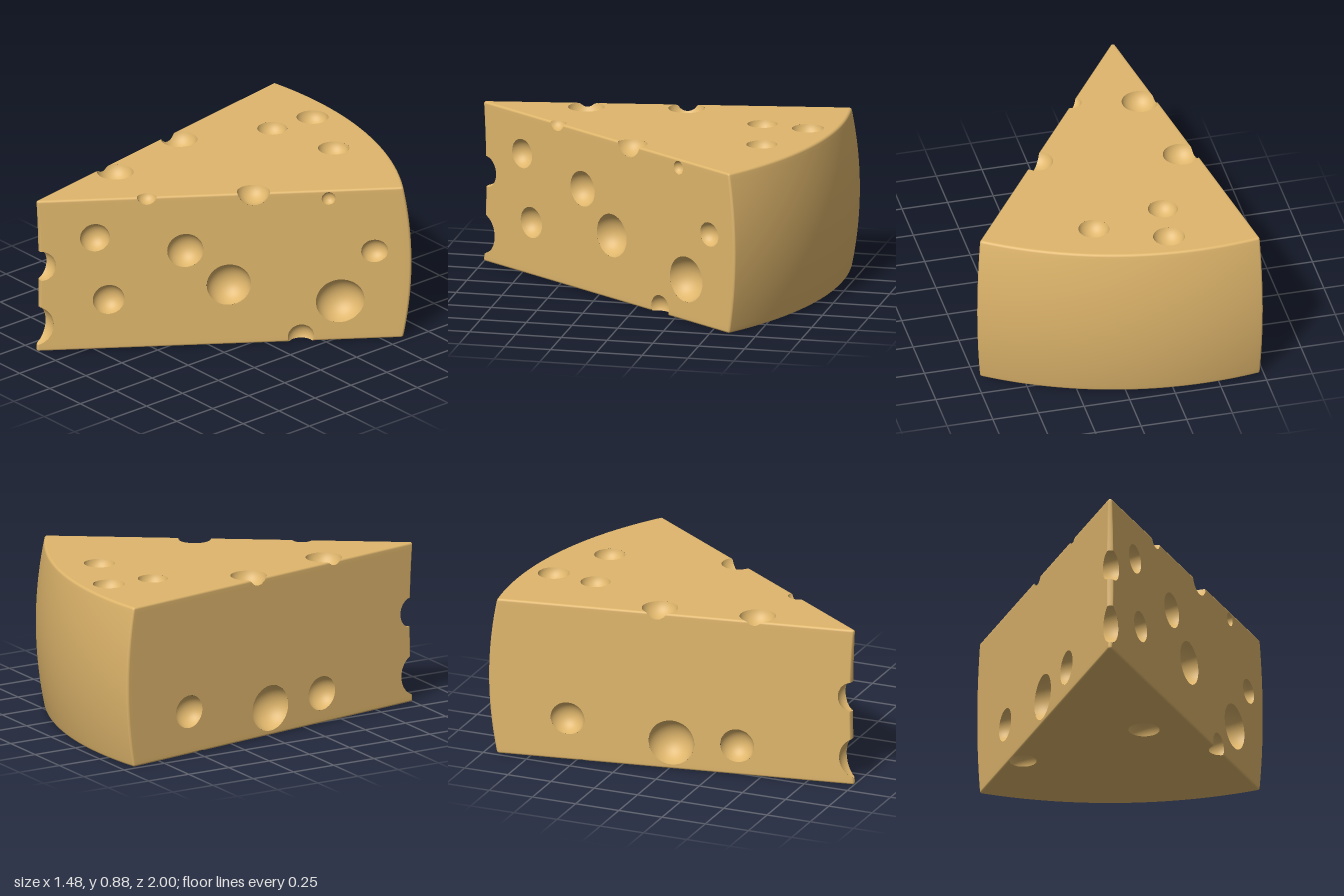
import * as THREE from 'three';
import { mergeVertices } from 'three/addons/utils/BufferGeometryUtils.js';

const V = (x, y, z) => new THREE.Vector3(x, y, z);
const dir = a => V(Math.sin(a), 0, -Math.cos(a));

// Wedge dimensions: a sector around the tip, with softly rounded edges
const TIP = V(-0.41, 0, 1.02), RADIUS = 1.975, HEIGHT = 0.88, ROUND = 0.012;
const A0 = THREE.MathUtils.degToRad(-9.4), A1 = THREE.MathUtils.degToRad(35);
const MID = (A0 + A1) / 2;
const N0 = V(-Math.cos(A0), 0, -Math.sin(A0)); // outward normal of the -x cut
const N1 = V(Math.cos(A1), 0, Math.sin(A1)); // outward normal of the +x cut
const CORE = TIP.clone().addScaledVector(dir(MID), ROUND / Math.sin((A1 - A0) / 2));

// Point on a cut face at depth z and height y
const onCut = (a, z, y) => TIP.clone().addScaledVector(dir(a), (TIP.z - z) / Math.cos(a)).setY(y);

// Spherical holes, each with its centre a little outside the surface
const holes = [];
const hole = (p, n, c, out = 0.2) =>
  holes.push({ c: p.clone().addScaledVector(n, out * c), r: c * Math.hypot(1, out) });
[[0.75, 0.655, 0.08], [0.69, 0.29, 0.085], [0.355, 0.56, 0.097], [0.165, 0.35, 0.118],
  [-0.315, 0.23, 0.125], [-0.455, 0.515, 0.066], [-0.15, 0.03, 0.07], [-0.27, 0.833, 0.037]]
  .forEach(([z, y, c]) => hole(onCut(A1, z, y), N1, c));
[[-0.54, 0.235, 0.09], [0.015, 0.15, 0.125], [0.37, 0.165, 0.093]]
  .forEach(([z, y, c]) => hole(onCut(A0, z, y), N0, c));
[[-0.265, -0.8, 0.085], [-0.295, -0.545, 0.08], [0.105, -0.635, 0.083], [-0.51, -0.08, 0.097],
  [-0.415, 0.445, 0.097], [0.25, 0.045, 0.088], [-0.06, 0.525, 0.053]]
  .forEach(([x, z, c]) => hole(V(x, HEIGHT, z), V(0, 1, 0), c));
[[-0.03, 0.03, 0.083], [-0.585, -0.48, 0.072]]
  .forEach(([x, z, c]) => hole(V(x, 0, z), V(0, -1, 0), c));
hole(V(-0.39, 0.498, 1.0), V(0, 0, 1), 0.085, 0);
hole(V(-0.4, 0.148, 1.04), V(0, 0, 1), 0.117, 0);

// Positive outside every hole
const outsideHoles = p => Math.min(...holes.map(h => p.distanceTo(h.c) - h.r));

// Positive inside the rounded wedge
function insideWedge(p) {
  const q = V(p.x - CORE.x, 0, p.z - CORE.z);
  let s = Math.max(q.dot(N0), q.dot(N1));
  if (q.dot(dir(A0)) < 0 && q.dot(dir(A1)) < 0) s = q.length();
  const t = Math.max(p.y - HEIGHT + ROUND, ROUND - p.y);
  return ROUND - Math.min(Math.max(s, t), 0) - Math.hypot(Math.max(s, 0), Math.max(t, 0));
}

// Bulge the rind outward and draw the tip edge in slightly at mid height
function warp(p) {
  const dx = p.x - TIP.x, dz = p.z - TIP.z, rho = Math.hypot(dx, dz);
  if (rho < 1e-6) return p;
  const s = 1 - (2 * p.y / HEIGHT - 1) ** 2;
  const k = s * (0.045 * (rho / RADIUS) ** 8 + 0.02 * Math.max(0, 1 - rho / 0.2)) / rho;
  return V(p.x + dx * k, p.y, p.z + dz * k);
}

// Keep the parts of triangles where the field is positive
function clip(triangles, field) {
  const out = [];
  const values = new Map();
  const value = p => {
    if (!values.has(p)) values.set(p, field(p));
    return values.get(p);
  };
  const root = (a, b) => {
    let lo = 0, hi = 1;
    for (let i = 0; i < 14; i++) {
      const m = (lo + hi) / 2;
      if (field(a.clone().lerp(b, m)) > 0) lo = m; else hi = m;
    }
    return a.clone().lerp(b, lo);
  };
  for (const tri of triangles) {
    const poly = [];
    tri.forEach((a, i) => {
      const b = tri[(i + 1) % 3], fa = value(a) > 0, fb = value(b) > 0;
      if (fa) poly.push(a);
      if (fa !== fb) poly.push(fa ? root(a, b) : root(b, a));
    });
    for (let i = 2; i < poly.length; i++) {
      for (const p of [poly[0], poly[i - 1], poly[i]]) out.push(...warp(p).toArray());
    }
  }
  const geo = new THREE.BufferGeometry();
  geo.setAttribute('position', new THREE.Float32BufferAttribute(out, 3));
  const merged = mergeVertices(geo, 1e-5);
  merged.computeVertexNormals();
  return merged;
}

// Rounded wedge lofted from rings: bottom, lower edge, walls, upper edge, top
function wedgeTriangles() {
  const outline = [];
  const segment = (n, point, normal) => {
    for (let i = 0; i < n; i++) outline.push({ p: point(i / n), n: normal(i / n).normalize() });
  };
  const rc = RADIUS - ROUND, delta = Math.asin(ROUND / rc), b0 = A0 + delta, b1 = A1 - delta;
  const at = a => TIP.clone().addScaledVector(dir(a), rc);
  const mix = (a, b) => t => a.clone().lerp(b, t);
  const angle = t => b1 + (b0 - b1) * t;
  segment(90, mix(CORE, at(b1)), () => N1.clone());
  segment(4, () => at(b1), mix(N1, dir(b1)));
  segment(44, t => at(angle(t)), t => dir(angle(t)));
  segment(4, () => at(b0), mix(dir(b0), N0));
  segment(90, mix(at(b0), CORE), () => N0.clone());
  segment(6, () => CORE.clone(), mix(N0, N1));

  const levels = [], CAP = 42, WALL = 40, EDGE = 4;
  for (let i = 0; i < CAP; i++) levels.push([i / CAP, 0, 0]);
  for (let i = 0; i < EDGE; i++) {
    const f = i / EDGE * Math.PI / 2;
    levels.push([1, ROUND * Math.sin(f), ROUND * (1 - Math.cos(f))]);
  }
  const lower = levels.slice();
  for (let i = 0; i <= WALL; i++) levels.push([1, ROUND, ROUND + (HEIGHT - 2 * ROUND) * i / WALL]);
  lower.reverse().forEach(([k, o, y]) => levels.push([k, o, HEIGHT - y]));

  const centre = TIP.clone().addScaledVector(dir(MID), 1.25);
  const rings = levels.map(([k, o, y]) => outline.map(({ p, n }) =>
    centre.clone().lerp(p, k).addScaledVector(n, o).setY(y)));
  const tris = [];
  for (let j = 0; j + 1 < rings.length; j++) {
    for (let i = 0; i < outline.length; i++) {
      const m = (i + 1) % outline.length;
      const [a, b, c, d] = [rings[j][i], rings[j][m], rings[j + 1][m], rings[j + 1][i]];
      if (j > 0) tris.push([a, b, c]);
      if (j + 2 < rings.length || levels[j + 1][0] > 0) tris.push([a, c, d]);
    }
  }
  return tris;
}

// Sphere facing inward
function bowlTriangles({ c, r }) {
  const pos = new THREE.IcosahedronGeometry(r, 10).getAttribute('position');
  const tris = [];
  const get = i => V().fromBufferAttribute(pos, i).add(c);
  for (let i = 0; i < pos.count; i += 3) tris.push([get(i), get(i + 2), get(i + 1)]);
  return tris;
}

export function createModel() {
  const group = new THREE.Group();
  group.name = 'cheeseWedge';
  const cheese = new THREE.MeshStandardMaterial({ color: 0xdfb66c });
  cheese.name = 'cheese';
  const add = (name, geo) => {
    const mesh = new THREE.Mesh(geo, cheese);
    mesh.name = name;
    group.add(mesh);
  };
  add('wedgeBody', clip(wedgeTriangles(), outsideHoles));
  holes.forEach((h, i) => add('hole' + (i + 1), clip(bowlTriangles(h), insideWedge)));
  return group;
}
